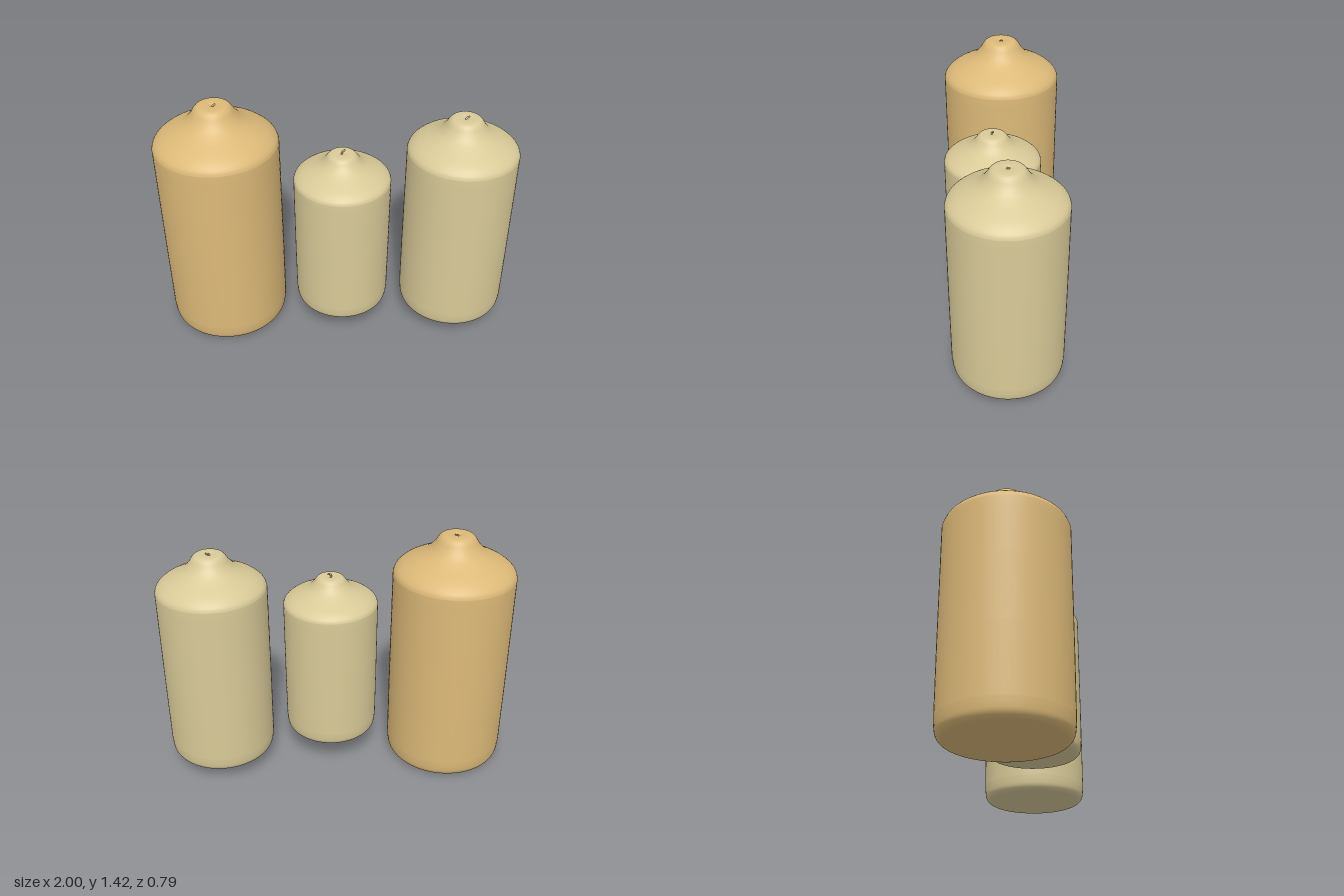
import * as THREE from 'three';

// Dome profile: radius fraction, height fraction between shoulder and top
const DOME = [[1, 0], [0.97, 0.11], [0.87, 0.25], [0.72, 0.38], [0.58, 0.49], [0.45, 0.62],
  [0.36, 0.77], [0.30, 0.91], [0.25, 0.98], [0.18, 1], [0.07, 0.995], [0.03, 0.97], [0, 0.96]];
// Rounded foot: radius fraction, height as a fraction of the radius
const FOOT = [[0, 0], [0.4, 0.002], [0.78, 0.012], [0.89, 0.025], [0.94, 0.06], [0.97, 0.11],
  [0.985, 0.19], [0.995, 0.32]];

function smooth(points, count) {
  const curve = new THREE.CatmullRomCurve3(points.map(([x, y]) => new THREE.Vector3(x, y, 0)));
  return curve.getPoints(count).map((p) => new THREE.Vector2(Math.max(p.x, 0), p.y));
}

function candle({ name, x, z, radius, bottom, shoulder, top, wick, color }) {
  const group = new THREE.Group();
  group.name = name;
  group.position.set(x, 0, z);
  const material = new THREE.MeshStandardMaterial({ color });

  // Wax body: foot, straight wall and domed shoulder in one turned profile
  const foot = FOOT.map(([r, h]) => [r * radius, bottom + h * radius]);
  const dome = DOME.map(([r, t]) => [r * radius, shoulder + t * (top - shoulder)]);
  const wall = [0.35, 0.7, 0.95].map((t) => [radius, bottom + 0.32 * radius + t * (shoulder - bottom - 0.32 * radius)]);
  const body = new THREE.Mesh(
    new THREE.LatheGeometry([...smooth(foot, 28), ...wall.map(([r, y]) => new THREE.Vector2(r, y)), ...smooth(dome, 48)], 72),
    material);
  body.name = 'waxBody';

  // Short bent wick rising from the dimple
  const base = top - 0.02;
  const path = new THREE.CatmullRomCurve3([
    new THREE.Vector3(0, base, 0),
    new THREE.Vector3(-0.004, (base + wick) / 2, 0.003),
    new THREE.Vector3(0.003, wick - 0.006, 0),
    new THREE.Vector3(0.012, wick - 0.002, -0.004),
  ]);
  const stem = new THREE.Mesh(new THREE.TubeGeometry(path, 12, 0.005, 8), material);
  stem.name = 'wick';
  const tip = new THREE.Mesh(new THREE.SphereGeometry(0.005, 8, 6), material);
  tip.name = 'wickTip';
  tip.position.copy(path.getPoint(1));

  group.add(body, stem, tip);
  return group;
}

export function createModel() {
  const model = new THREE.Group();
  model.name = 'candles';
  model.add(
    candle({ name: 'tallCandle', x: -0.655, z: -0.05, radius: 0.345, bottom: 0.005, shoulder: 1.185, top: 1.42, wick: 1.42, color: 0xdcb978 }),
    candle({ name: 'smallCandle', x: 0.025, z: 0.083, radius: 0.27, bottom: 0.17, shoulder: 0.995, top: 1.16, wick: 1.178, color: 0xd9ca98 }),
    candle({ name: 'mediumCandle', x: 0.69, z: 0.085, radius: 0.308, bottom: 0.09, shoulder: 1.14, top: 1.345, wick: 1.35, color: 0xd9ca98 }),
  );
  return model;
}
